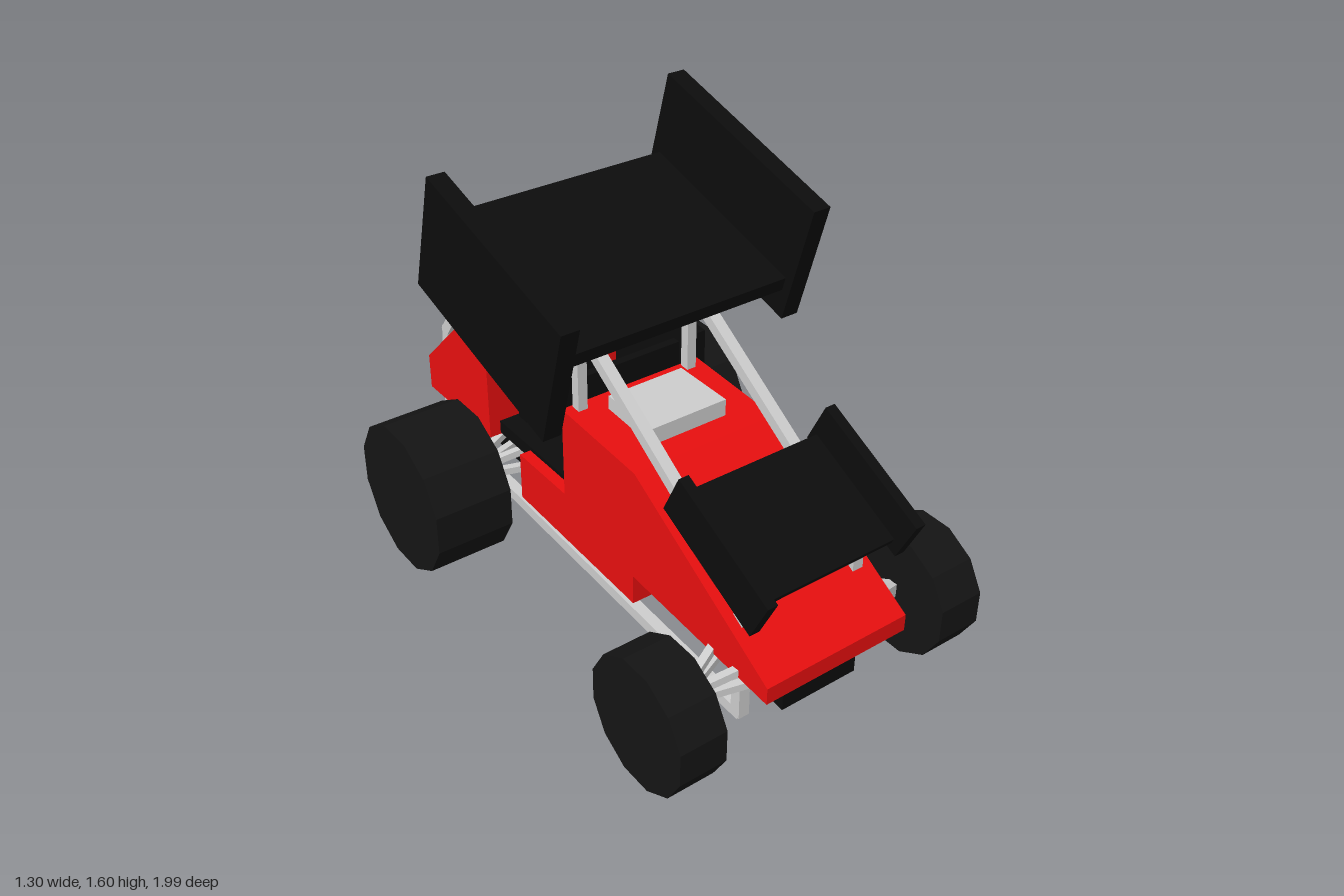
import * as THREE from 'three';

const mat = (color) => new THREE.MeshStandardMaterial({ color, flatShading: true });

export function createModel() {
  const car = new THREE.Group();
  car.name = 'sprintCar';
  const red = mat(0xe60f0f), black = mat(0x0c0c0c), rubber = mat(0x141414), grey = mat(0xcccccc);

  const add = (name, geometry, material, x = 0, y = 0, z = 0) => {
    const mesh = new THREE.Mesh(geometry, material);
    mesh.name = name;
    mesh.position.set(x, y, z);
    car.add(mesh);
    return mesh;
  };
  const box = (name, material, w, h, d, x, y, z, tilt = 0) => {
    const mesh = add(name, new THREE.BoxGeometry(w, h, d), material, x, y, z);
    mesh.rotation.x = tilt;
    return mesh;
  };
  // side outline of [z, y] points, extruded across x0..x1
  const sidePanel = (name, material, points, x0, x1) => {
    const shape = new THREE.Shape(points.map(([z, y]) => new THREE.Vector2(-z, y)));
    const geometry = new THREE.ExtrudeGeometry(shape, { depth: x1 - x0, bevelEnabled: false });
    geometry.rotateY(Math.PI / 2);
    return add(name, geometry, material, x0, 0, 0);
  };
  // square bar between two points
  const bar = (name, a, b, size = 0.04, overlap = 0.012) => {
    const start = new THREE.Vector3(...a), end = new THREE.Vector3(...b);
    const length = start.distanceTo(end) + overlap * 2;
    const mesh = add(name, new THREE.BoxGeometry(size, size, length), grey);
    mesh.position.copy(start).add(end).multiplyScalar(0.5);
    mesh.lookAt(end);
    return mesh;
  };

  // bodywork
  sidePanel('frontBody', red, [
    [0.97, 0.28], [0.97, 0.34], [0.32, 0.715], [-0.08, 0.735], [-0.08, 0.4],
    [-0.36, 0.4], [-0.36, 0.22], [0.31, 0.2], [0.31, 0.31],
  ], -0.272, 0.272);
  sidePanel('tailTank', red, [
    [-0.56, 0.36], [-0.56, 0.75], [-0.72, 0.755], [-0.99, 0.49], [-0.99, 0.355],
  ], -0.272, 0.272);
  sidePanel('chassisFloor', black, [
    [0.9, 0.13], [0.9, 0.3], [-0.35, 0.37], [-0.89, 0.36], [-0.89, 0.2],
  ], -0.145, 0.145);
  box('airScoop', grey, 0.29, 0.06, 0.235, 0, 0.75, 0.118);

  // cockpit
  box('cockpitFloor', black, 0.46, 0.05, 0.5, 0, 0.39, -0.33);
  box('dashPanel', black, 0.4, 0.24, 0.03, 0, 0.7, -0.1);
  box('seatBack', black, 0.32, 0.32, 0.05, 0, 0.55, -0.52);
  const wheel = add('steeringWheel', new THREE.TorusGeometry(0.045, 0.012, 4, 4), grey, 0, 0.68, -0.15);
  wheel.rotation.z = Math.PI / 4;

  // tall board on one side of the cockpit
  sidePanel('sideBoard', black, [
    [-0.08, 0.42], [-0.08, 0.83], [-0.3, 0.84], [-0.4, 1.04], [-0.6, 1.05], [-0.615, 0.42],
  ], 0.272, 0.305);

  // top wing
  const topTilt = 0.279;
  box('topWing', black, 0.83, 0.05, 0.7, -0.01, 1.19, -0.145, topTilt);
  box('topWingRightPlate', black, 0.065, 0.44, 0.77, -0.45, 1.136, -0.164, topTilt);
  box('topWingLeftPlate', black, 0.065, 0.44, 0.77, 0.435, 1.284, -0.121, topTilt);

  // nose wing
  const noseTilt = 0.453;
  box('noseWing', black, 0.52, 0.024, 0.4, -0.01, 0.69, 0.735, noseTilt);
  box('noseWingRightPlate', black, 0.036, 0.163, 0.456, -0.273, 0.674, 0.734, noseTilt);
  box('noseWingLeftPlate', black, 0.036, 0.163, 0.456, 0.257, 0.728, 0.76, noseTilt);

  // tube frame, wheels and suspension on both sides
  const hoop = [
    [0.79, 0.085], [0.785, 0.515], [0.02, 1.005], [-0.15, 1.05],
    [-0.59, 1.065], [-0.915, 0.62], [-0.95, 0.155],
  ];
  for (const s of [-1, 1]) {
    const x = 0.217 * s;
    hoop.forEach(([z, y], i) => {
      const [z2, y2] = hoop[(i + 1) % hoop.length];
      bar('frameRail', [x, y, z], [x, y2, z2]);
    });
    bar('frontCagePost', [x, 0.7, -0.055], [x, 1.03, -0.055], 0.035);
    bar('rearCagePost', [x, 0.72, -0.64], [x, 1.06, -0.59], 0.035);
    bar('topWingPost', [0.31 * s, 1.06, -0.3], [0.31 * s, 1.2, -0.3], 0.024);
    bar('noseWingPost', [x, 0.56, 0.74], [x, 0.67, 0.74], 0.022);

    // wheels: [name, x, z, radius, width]
    for (const [name, wx, wz, r, w] of [
      ['frontWheel', 0.508, 0.768, 0.223, 0.166],
      ['rearWheel', 0.507, -0.54, 0.272, 0.286],
    ]) {
      const geometry = new THREE.CylinderGeometry(r, r, w, 12);
      geometry.rotateZ(Math.PI / 2);
      geometry.rotateX(Math.PI / 12);
      add(name, geometry, rubber, wx * s, r * 0.985, wz);
    }

    // wishbones
    for (const dz of [-0.085, 0.085]) {
      bar('frontLowerArm', [0.2 * s, 0.25, 0.768 + dz], [0.43 * s, 0.22, 0.768], 0.026);
      bar('frontUpperArm', [0.2 * s, 0.325, 0.768 + dz], [0.43 * s, 0.24, 0.768], 0.026);
      bar('rearLowerArm', [0.13 * s, 0.25, -0.54 + dz], [0.4 * s, 0.25, -0.54], 0.026);
      bar('rearUpperArm', [0.13 * s, 0.34, -0.54 + dz], [0.4 * s, 0.27, -0.54], 0.026);
    }
  }

  // cross members
  for (const [y, z, half, size] of [
    [1.005, 0.02, 0.217, 0.03], [1.045, -0.15, 0.217, 0.03], [1.06, -0.575, 0.217, 0.04],
    [1.06, -0.3, 0.31, 0.024], [0.565, 0.74, 0.217, 0.022],
  ]) bar('crossBar', [-half, y, z], [half, y, z], size);

  return car;
}
